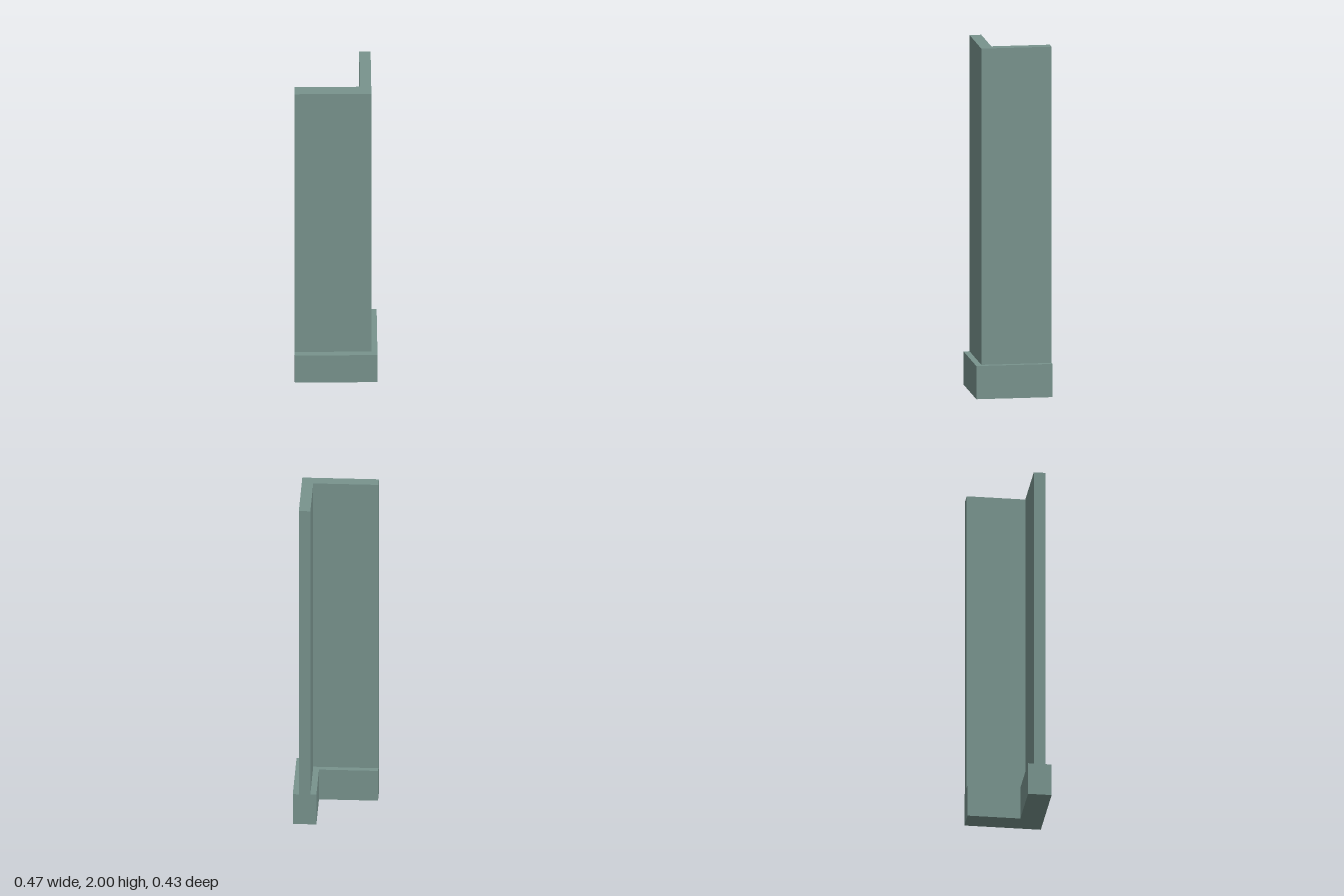
import * as THREE from 'three';

const LEFT = -0.233, BACK = -0.217; // the two open ends of the corner

// L-shaped prism: outer corner at (outX, outZ), inner corner at (inX, inZ)
function cornerPrism(outX, outZ, inX, inZ, y0, y1) {
  const plan = [[LEFT, outZ], [outX, outZ], [outX, BACK], [inX, BACK], [inX, inZ], [LEFT, inZ]];
  const shape = new THREE.Shape(plan.map(([x, z]) => new THREE.Vector2(x, -z)));
  const geometry = new THREE.ExtrudeGeometry(shape, { depth: y1 - y0, bevelEnabled: false });
  return geometry.rotateX(-Math.PI / 2).translate(0, y0, 0);
}

export function createModel() {
  const model = new THREE.Group();
  model.name = 'cornerWall';

  const paint = new THREE.MeshStandardMaterial({ color: 0x78938d });
  paint.name = 'greyGreen';

  const add = (name, geometry) => {
    const mesh = new THREE.Mesh(geometry, paint);
    mesh.name = name;
    model.add(mesh);
  };

  // Thick footing with the thinner wall standing on it
  add('base', cornerPrism(0.233, 0.217, 0.1, 0.083, 0, 0.19));
  add('wall', cornerPrism(0.199, 0.183, 0.134, 0.116, 0.19, 2));

  return model;
}
